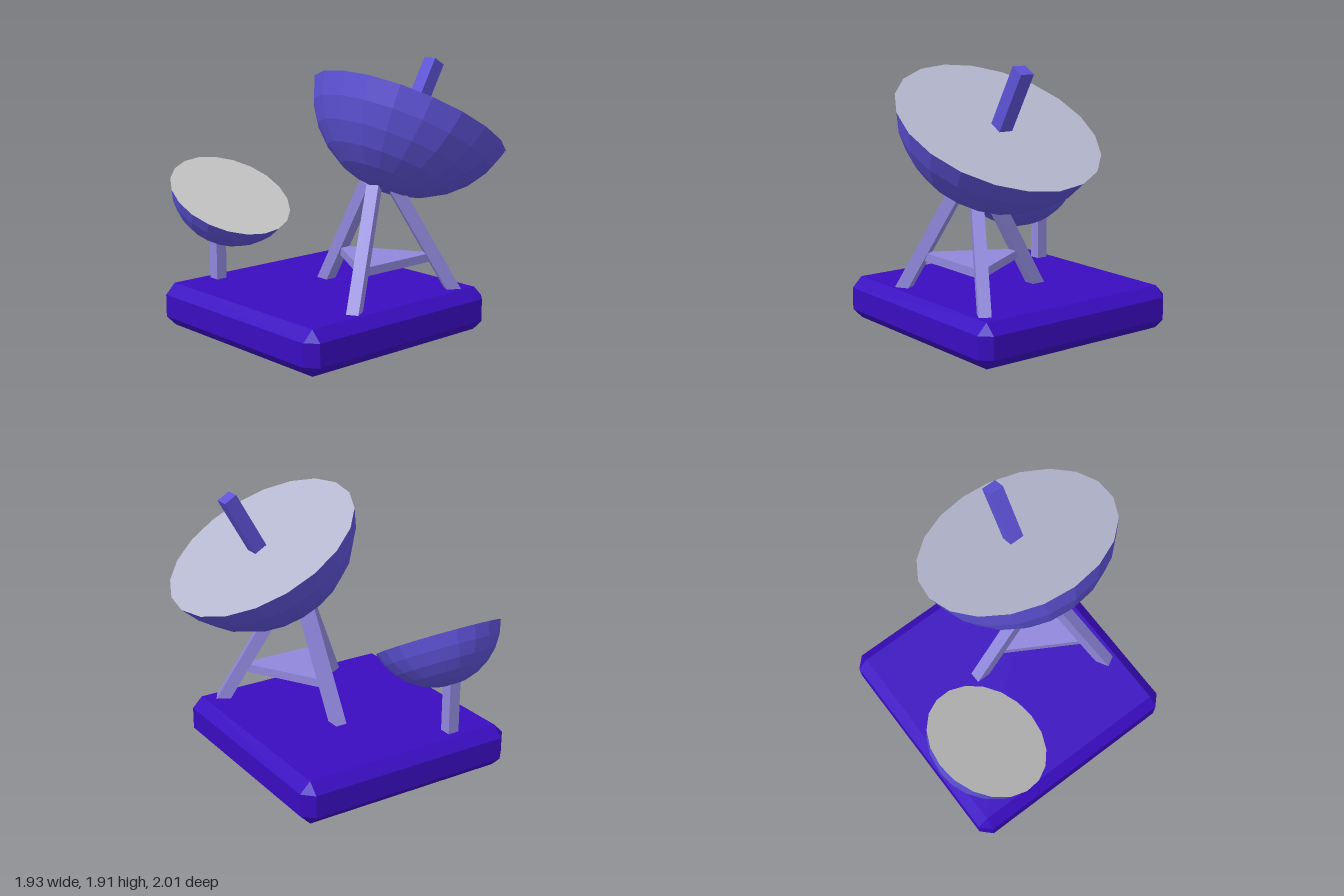
import * as THREE from 'three';
import { ConvexGeometry } from 'three/addons/geometries/ConvexGeometry.js';

const flat = (name, color) => {
  const m = new THREE.MeshStandardMaterial({ color, flatShading: true });
  m.name = name;
  return m;
};

// Box with every edge chamfered by c
function chamferedBox(w, h, d, c) {
  const pts = [];
  for (const sx of [-1, 1]) for (const sy of [-1, 1]) for (const sz of [-1, 1]) {
    const x = w / 2, y = h / 2, z = d / 2;
    pts.push(
      new THREE.Vector3(sx * x, sy * (y - c), sz * (z - c)),
      new THREE.Vector3(sx * (x - c), sy * y, sz * (z - c)),
      new THREE.Vector3(sx * (x - c), sy * (y - c), sz * z));
  }
  return new ConvexGeometry(pts);
}

export function createModel() {
  const model = new THREE.Group();
  model.name = 'dishStation';
  const indigo = flat('indigo', 0x3a0cc0);
  const violet = flat('violet', 0x5d52d6);
  const lavender = flat('lavender', 0x9087dc);
  const paleBlue = flat('paleBlueGrey', 0xb4b7ce);
  const grey = flat('lightGrey', 0xc6c6c6);

  const add = (parent, name, geometry, material, x = 0, y = 0, z = 0) => {
    const mesh = new THREE.Mesh(geometry, material);
    mesh.name = name;
    mesh.position.set(x, y, z);
    parent.add(mesh);
    return mesh;
  };

  // Dish: spherical cap closed by a flat face, origin at the rim centre
  const makeDish = (name, rim, faceMaterial) => {
    const dish = new THREE.Group();
    dish.name = name;
    const h = rim * 0.256, R = Math.hypot(rim, h);
    const angle = Math.acos(h / R);
    add(dish, name + 'Bowl',
      new THREE.SphereGeometry(R, 20, 6, 0, Math.PI * 2, Math.PI - angle, angle), violet, 0, h, 0);
    add(dish, name + 'Face', new THREE.CircleGeometry(rim, 20).rotateX(-Math.PI / 2), faceMaterial);
    model.add(dish);
    return dish;
  };

  // Base slab
  add(model, 'base', chamferedBox(1.66, 0.31, 1.66, 0.075), indigo, -0.09, 0.155, -0.12);

  // Large dish with its feed rod, tilted towards +x
  const large = makeDish('largeDish', 0.71, paleBlue);
  large.position.set(0.345, 1.515, 0.283);
  large.rotation.z = -Math.PI / 6;
  add(large, 'feedRod', new THREE.BoxGeometry(0.1, 0.494, 0.105), violet, 0.029, 0.197, 0);

  // Small dish tilted to the front, on a post
  const small = makeDish('smallDish', 0.441, grey);
  small.position.set(-0.525, 0.95, -0.615);
  small.rotation.x = Math.PI / 6;
  add(model, 'smallDishPost', new THREE.BoxGeometry(0.085, 0.42, 0.085), lavender, -0.525, 0.48, -0.783);

  // Tripod: three leaning legs, 120 degrees apart
  const tripod = new THREE.Group();
  tripod.name = 'tripod';
  tripod.position.set(0.06, 0, 0.28);
  model.add(tripod);
  const yLow = 0.26, yTop = 1.07, yMid = (yLow + yTop) / 2, lean = Math.PI / 6;
  const legGeometry = new THREE.BoxGeometry(0.09, (yTop - yLow) / Math.cos(lean), 0.085);
  for (let i = 0; i < 3; i++) {
    const arm = new THREE.Group();
    arm.name = 'tripodLeg' + (i + 1);
    arm.rotation.y = Math.PI / 2 + i * Math.PI * 2 / 3;
    add(arm, 'leg', legGeometry, lavender, 0.54 - Math.tan(lean) * (yMid - 0.31), yMid, 0).rotation.z = lean;
    tripod.add(arm);
  }

  // Triangular plate bracing the legs
  add(tripod, 'bracePlate', new THREE.CylinderGeometry(0.4, 0.4, 0.06, 3).rotateY(Math.PI), lavender, 0, 0.543, 0);

  return model;
}
